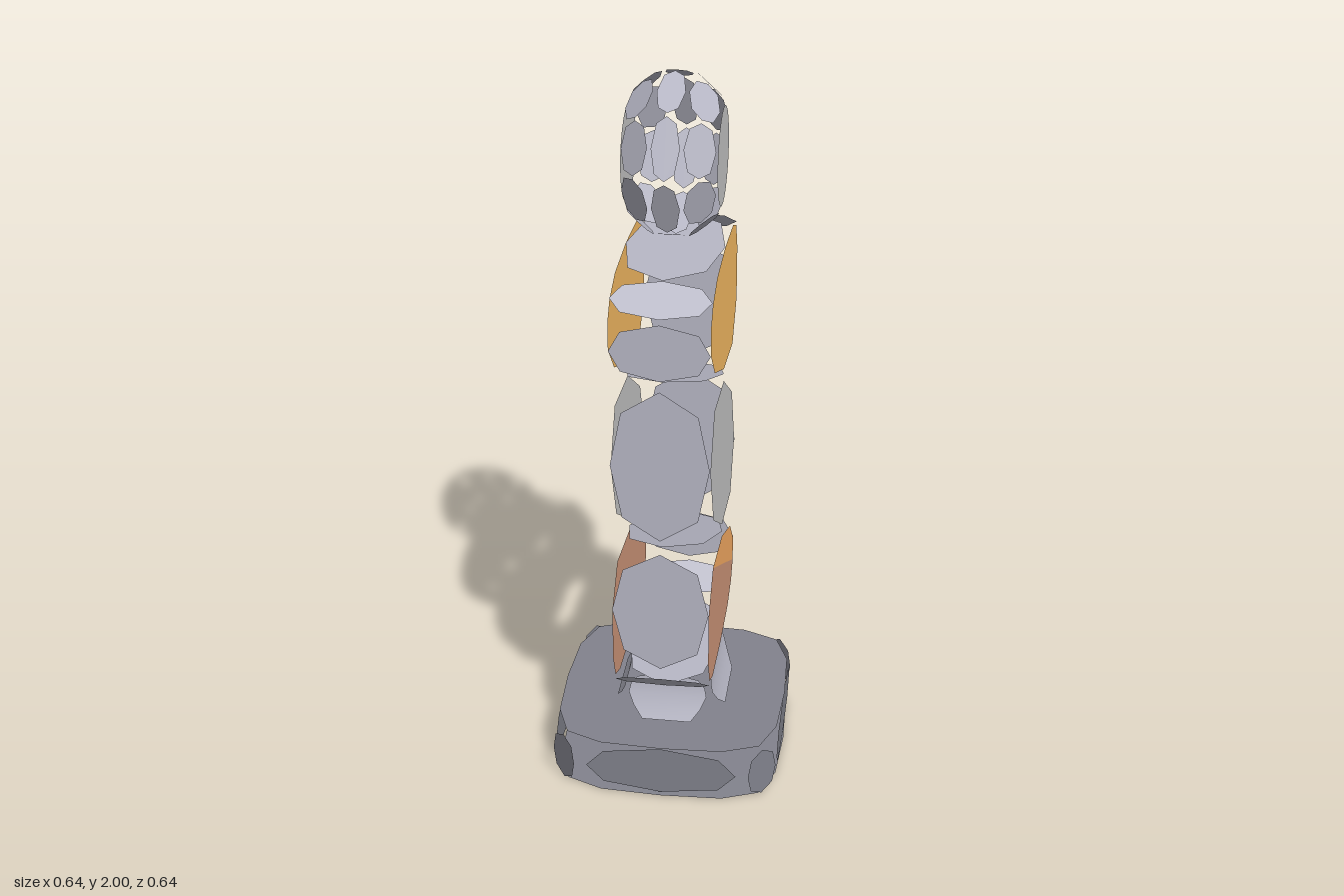
import * as THREE from 'three';

const V = (x, y, z) => new THREE.Vector3(x, y, z);
const material = (color) => new THREE.MeshStandardMaterial({ color, side: THREE.DoubleSide });
const STONE = material(0xb8b8c6), GREY = material(0xcccccc), DARK = material(0x82838d);
const AMBER = material(0xffc267), ORANGE = material(0xffb267), BROWN = material(0xd69c7e);

// Flat convex panel, fanned from its first corner
function panel(parent, name, mat, points) {
  const tris = [];
  for (let i = 1; i < points.length - 1; i++) tris.push(points[0], points[i], points[i + 1]);
  const geometry = new THREE.BufferGeometry().setFromPoints(tris);
  geometry.computeVertexNormals();
  const mesh = new THREE.Mesh(geometry, mat);
  mesh.name = name;
  parent.add(mesh);
  return mesh;
}

// Eight-cornered facet with half-axes u and v; it faces along u x v
const FACET = [[1, 0], [0.77, 0.7], [0, 1], [-0.77, 0.7], [-1, 0], [-0.77, -0.7], [0, -1], [0.77, -0.7]];
function facet(parent, name, mat, center, u, v) {
  return panel(parent, name, mat, FACET.map(([a, b]) =>
    center.clone().addScaledVector(u, a).addScaledVector(v, b)));
}

// Curved neck patch: rows narrow to a point at the top and flare at the foot
function neckPatch(halfWidth, offset) {
  const rows = [[0.172, 0.62], [0.205, 0.86], [0.24, 1], [0.265, 0.95], [0.288, 0.78], [0.305, 0.02]];
  const geometry = new THREE.PlaneGeometry(2, 1, 2, rows.length - 1);
  const p = geometry.attributes.position;
  for (let i = 0; i < p.count; i++) {
    const [y, w] = rows[rows.length - 1 - Math.floor(i / 3)];
    const t = (0.305 - y) / 0.133;
    p.setXYZ(i, p.getX(i) * w * halfWidth, y, offset + 0.04 * t * t);
  }
  geometry.computeVertexNormals();
  const mesh = new THREE.Mesh(geometry, STONE);
  mesh.name = 'neckPatch';
  return mesh;
}

function makeBase() {
  const base = new THREE.Group();
  base.name = 'base';
  const outline = [];
  for (let k = 0; k < 4; k++) {
    const a = k * Math.PI / 2;
    for (const [x, z] of [[0, 0.318], [0.17, 0.31], [0.27, 0.27], [0.31, 0.17]]) {
      outline.push(V(x, 0, z).applyAxisAngle(V(0, 1, 0), a));
    }
    // Side panel and the narrow corner panel beside it
    facet(base, 'baseSide', DARK, V(0, 0.083, 0.315), V(0.21, 0, 0), V(0, 0.073, 0)).rotation.y = a;
    facet(base, 'baseCorner', DARK, V(0, 0.083, 0.396), V(0.05, 0, 0), V(0, 0.073, 0)).rotation.y = a + Math.PI / 4;
    const patch = k % 2 ? neckPatch(0.145, 0.115) : neckPatch(0.11, 0.16);
    patch.rotation.y = a;
    base.add(patch);
  }
  panel(base, 'baseTop', DARK, outline.map((p) => V(p.x, 0.16, p.z)));
  panel(base, 'baseBottom', DARK, outline.map((p) => V(p.x, 0, p.z)).reverse());
  return base;
}

// Half of the body's end panels; the other half is this one turned about x
function makeBodyHalf() {
  const half = new THREE.Group();
  half.name = 'bodyEnds';
  const u = V(0.13, 0, 0);
  for (const [y, h] of [[1.362, 0.078], [1.037, 0.218], [0.598, 0.18]]) {
    facet(half, 'endPanel', STONE, V(0, y, 0.307), u, V(0, h, 0));
  }
  facet(half, 'upperBevel', STONE, V(0, 1.495, 0.278), u, V(0, 0.036, -0.038));
  facet(half, 'lowerBevel', STONE, V(0, 0.355, 0.278), u, V(0, 0.036, 0.038));
  facet(half, 'cap', STONE, V(0, 1.532, 0), u, V(0, 0, -0.24));
  facet(half, 'slantedDivider', STONE, V(0, 1.168, 0), u, V(0, 0.095, 0.265));
  return half;
}

function makeBody() {
  const body = new THREE.Group();
  body.name = 'body';
  const front = makeBodyHalf(), back = makeBodyHalf();
  back.rotation.x = Math.PI;
  back.position.y = 1.85;
  body.add(front, back);

  // Side outlines as [z, y]; the lower block is the upper one turned half round
  const upper = [[0.18, 1.522], [0, 1.532], [-0.19, 1.52], [-0.27, 1.487], [-0.305, 1.41], [-0.305, 1.258],
    [-0.212, 1.16], [0, 1.183], [0.215, 1.273], [0.306, 1.365], [0.306, 1.44], [0.27, 1.487]];
  const middle = [[0.293, 1.025], [0.215, 1.163], [0, 1.147], [-0.215, 1.01], [-0.293, 0.825],
    [-0.212, 0.69], [0, 0.705], [0.215, 0.84]];
  const lower = upper.map(([z, y]) => [-z, 1.85 - y]);
  const split = [...lower.slice(6, 11)];
  const rest = [...lower.slice(10), ...lower.slice(0, 7)];
  for (const s of [1, -1]) {
    const side = (name, mat, pts) => {
      const ring = pts.map(([z, y]) => V(s * 0.13, y, z));
      panel(body, name, mat, s > 0 ? ring.reverse() : ring);
    };
    side('upperSide', AMBER, upper);
    side('middleSide', GREY, middle);
    if (s > 0) {
      side('lowerSideTop', ORANGE, split);
      side('lowerSide', BROWN, rest);
    } else side('lowerSide', BROWN, lower);
  }
  return body;
}

// Wheel-shaped head: eight rim facets, sloping facets each side, and round cheeks
function makeHead() {
  const head = new THREE.Group();
  head.name = 'head';
  head.position.y = 1.78;
  for (let k = 0; k < 8; k++) {
    const a = (k + 0.5) * Math.PI / 4;
    const out = V(0, Math.cos(a), Math.sin(a)), along = V(0, -Math.sin(a), Math.cos(a));
    facet(head, 'rimFacet', STONE, out.clone().multiplyScalar(0.204), along.clone().multiplyScalar(0.08), V(0.036, 0, 0));
    for (const s of [1, -1]) {
      facet(head, 'slopingFacet', STONE, out.clone().multiplyScalar(0.175).setX(s * 0.082),
        along.clone().multiplyScalar(s * 0.068), out.clone().multiplyScalar(-s * 0.031).setX(0.037));
    }
  }
  for (const s of [1, -1]) {
    const cheek = new THREE.Mesh(new THREE.CircleGeometry(0.128, 24), GREY);
    cheek.name = 'cheek';
    cheek.rotation.y = s * Math.PI / 2;
    cheek.position.x = s * 0.122;
    head.add(cheek);
  }
  return head;
}

export function createModel() {
  const model = new THREE.Group();
  model.name = 'stackedStatue';
  model.add(makeBase(), makeBody(), makeHead());
  return model;
}
